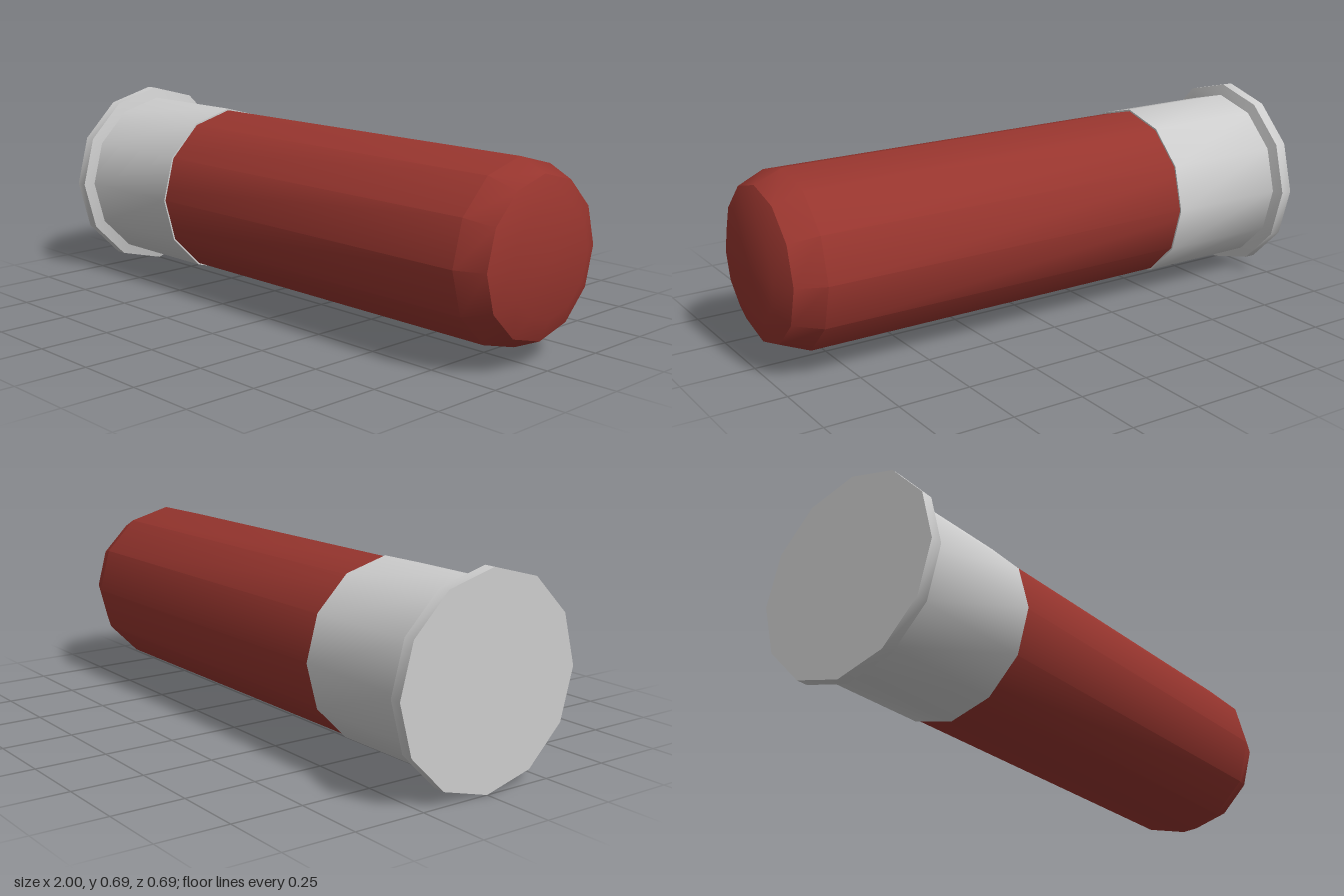
import * as THREE from 'three';
import { toCreasedNormals } from 'three/addons/utils/BufferGeometryUtils.js';

const RADIUS = 0.347;

// Twelve-sided turned part lying along x; profile is [x, radius] from the base to the tip
function turned(name, profile, material) {
  const points = profile.map(([x, r]) => new THREE.Vector2(r, x));
  const lathe = new THREE.LatheGeometry(points, 12);
  lathe.rotateZ(-Math.PI / 2);
  const mesh = new THREE.Mesh(toCreasedNormals(lathe, THREE.MathUtils.degToRad(35)), material);
  mesh.name = name;
  mesh.position.y = RADIUS;
  return mesh;
}

export function createModel() {
  const metal = new THREE.MeshStandardMaterial({ color: 0xcccccc });
  metal.name = 'pale metal';
  const red = new THREE.MeshStandardMaterial({ color: 0x97352e });
  red.name = 'dull red';

  const group = new THREE.Group();
  group.name = 'shell';

  // Metal base: flat back, flared rim, sleeve and thin front lip
  group.add(turned('metalBase', [
    [-1, 0], [-1, RADIUS], [-0.96, RADIUS], [-0.95, 0.308], [-0.505, 0.308], [-0.505, 0.29],
  ], metal));

  // Red tube: straight body, tapered shoulder and shallow domed tip
  group.add(turned('redTube', [
    [-0.9, 0], [-0.9, 0.302], [0.87, 0.302], [0.966, 0.261], [1, 0.185], [1, 0],
  ], red));

  return group;
}
